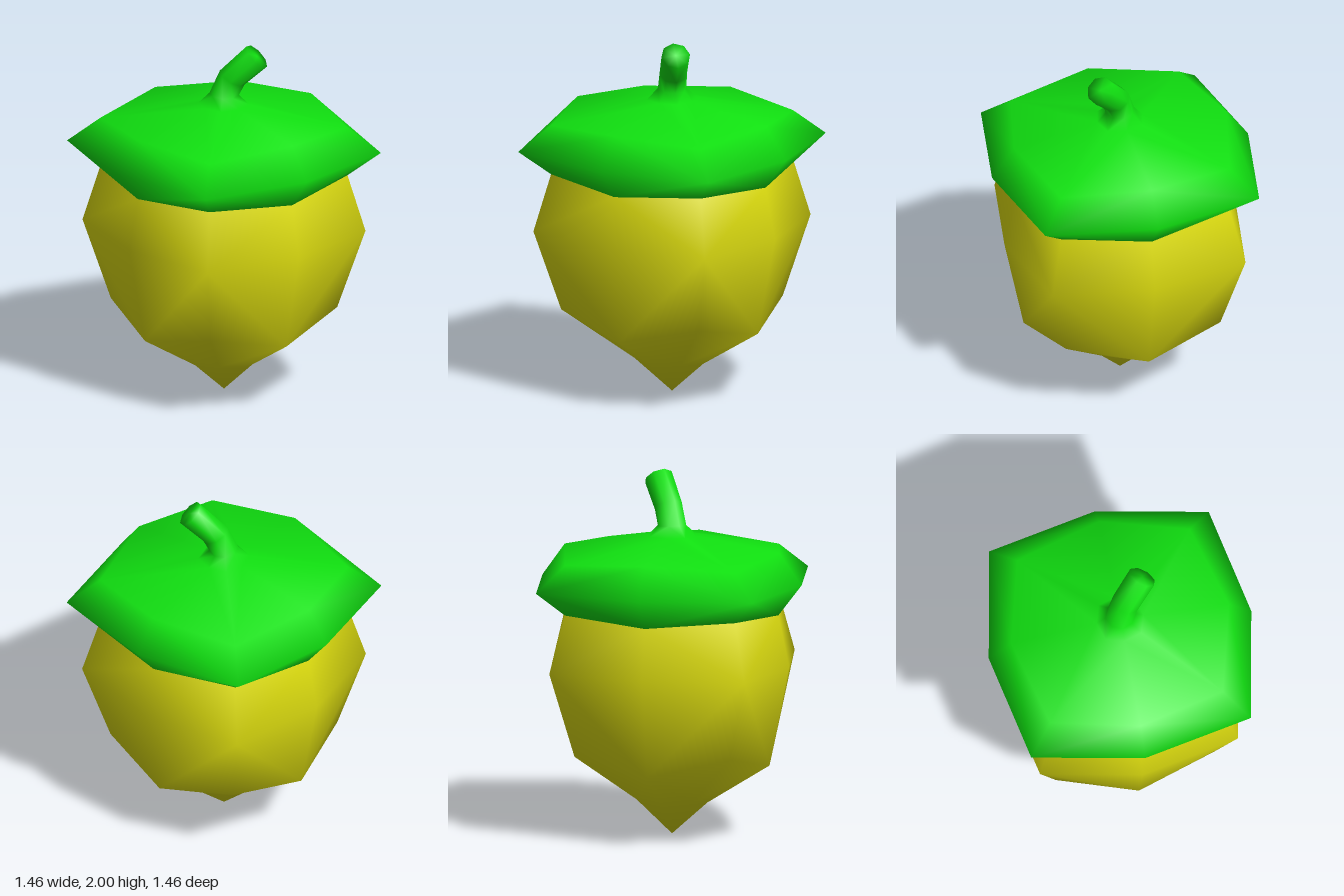
import * as THREE from 'three';

const SIDES = 8;

// Eight-point ring: even points lie on the x/z axes, odd points on the diagonals.
// axis = [radius, y]; corner = [x and z offset, y]
function squareRing(axis, corner) {
  return Array.from({ length: SIDES }, (_, k) => {
    const a = (k * Math.PI) / 4;
    const [r, y] = k % 2 ? [corner[0] * Math.SQRT2, corner[1]] : axis;
    return new THREE.Vector3(r * Math.sin(a), y, r * Math.cos(a));
  });
}

// Round ring, tilted so that it faces along dir
function tiltedRing(centre, radius, dir) {
  const q = new THREE.Quaternion().setFromUnitVectors(
    new THREE.Vector3(0, 1, 0), new THREE.Vector3(...dir).normalize());
  return squareRing([radius, 0], [radius * Math.SQRT1_2, 0])
    .map((p) => p.applyQuaternion(q).add(new THREE.Vector3(...centre)));
}

// A ring shrunk to one point
const point = (x, y, z) => Array.from({ length: SIDES }, () => new THREE.Vector3(x, y, z));

// Skin rings from bottom to top; each quad is split along its outer diagonal
function loft(name, rings, centreY, material) {
  const centre = new THREE.Vector3(0, centreY, 0);
  const reach = (a, b) => a.clone().add(b).multiplyScalar(0.5).distanceTo(centre);
  const isPoint = (r) => r[0].distanceTo(r[1]) < 1e-6;
  const positions = [];
  const index = [];
  const starts = rings.map((ring) => {
    const start = positions.length / 3;
    (isPoint(ring) ? [ring[0]] : ring).forEach((p) => positions.push(p.x, p.y, p.z));
    return start;
  });
  for (let i = 0; i < rings.length - 1; i++) {
    const lo = rings[i], up = rings[i + 1];
    for (let k = 0; k < SIDES; k++) {
      const n = (k + 1) % SIDES;
      const id = (j, m) => starts[j] + (isPoint(rings[j]) ? 0 : m);
      const a = id(i, k), b = id(i, n), c = id(i + 1, n), d = id(i + 1, k);
      if (isPoint(lo)) index.push(a, c, d);
      else if (isPoint(up)) index.push(a, b, c);
      else if (reach(lo[k], up[n]) > reach(lo[n], up[k])) index.push(a, b, c, a, c, d);
      else index.push(a, b, d, b, c, d);
    }
  }
  const geometry = new THREE.BufferGeometry();
  geometry.setAttribute('position', new THREE.Float32BufferAttribute(positions, 3));
  geometry.setIndex(index);
  geometry.computeVertexNormals();
  const mesh = new THREE.Mesh(geometry, material);
  mesh.name = name;
  return mesh;
}

export function createModel() {
  const group = new THREE.Group();
  group.name = 'acorn';
  const green = new THREE.MeshStandardMaterial({ color: 0x10e010, side: THREE.DoubleSide });
  const yellow = new THREE.MeshStandardMaterial({ color: 0xe0e010, side: THREE.DoubleSide });

  // Nut: pointed tip, rounded-square body, open under the cap
  group.add(loft('nut', [
    point(0, 0, 0),
    squareRing([0.2, 0.18], [0.15, 0.2]),
    squareRing([0.55, 0.4], [0.44, 0.5]),
    squareRing([0.66, 0.95], [0.55, 0.95]),
    squareRing([0.6, 1.235], [0.48, 1.268]),
  ], 0.85, yellow));

  // Cap flowing into a bent stem
  group.add(loft('capAndStem', [
    squareRing([0.6, 1.235], [0.48, 1.268]),
    squareRing([0.73, 1.405], [0.61, 1.405]),
    squareRing([0.605, 1.58], [0.48, 1.545]),
    squareRing([0.13, 1.655], [0.1, 1.655]),
    tiltedRing([0, 1.71, 0], 0.08, [0.05, 1, -0.05]),
    tiltedRing([0.035, 1.81, -0.03], 0.078, [0.38, 0.87, -0.3]),
    tiltedRing([0.145, 1.944, -0.113], 0.08, [0.54, 0.71, -0.45]),
    point(0.147, 1.947, -0.115),
  ], 1.4, green));

  return group;
}
